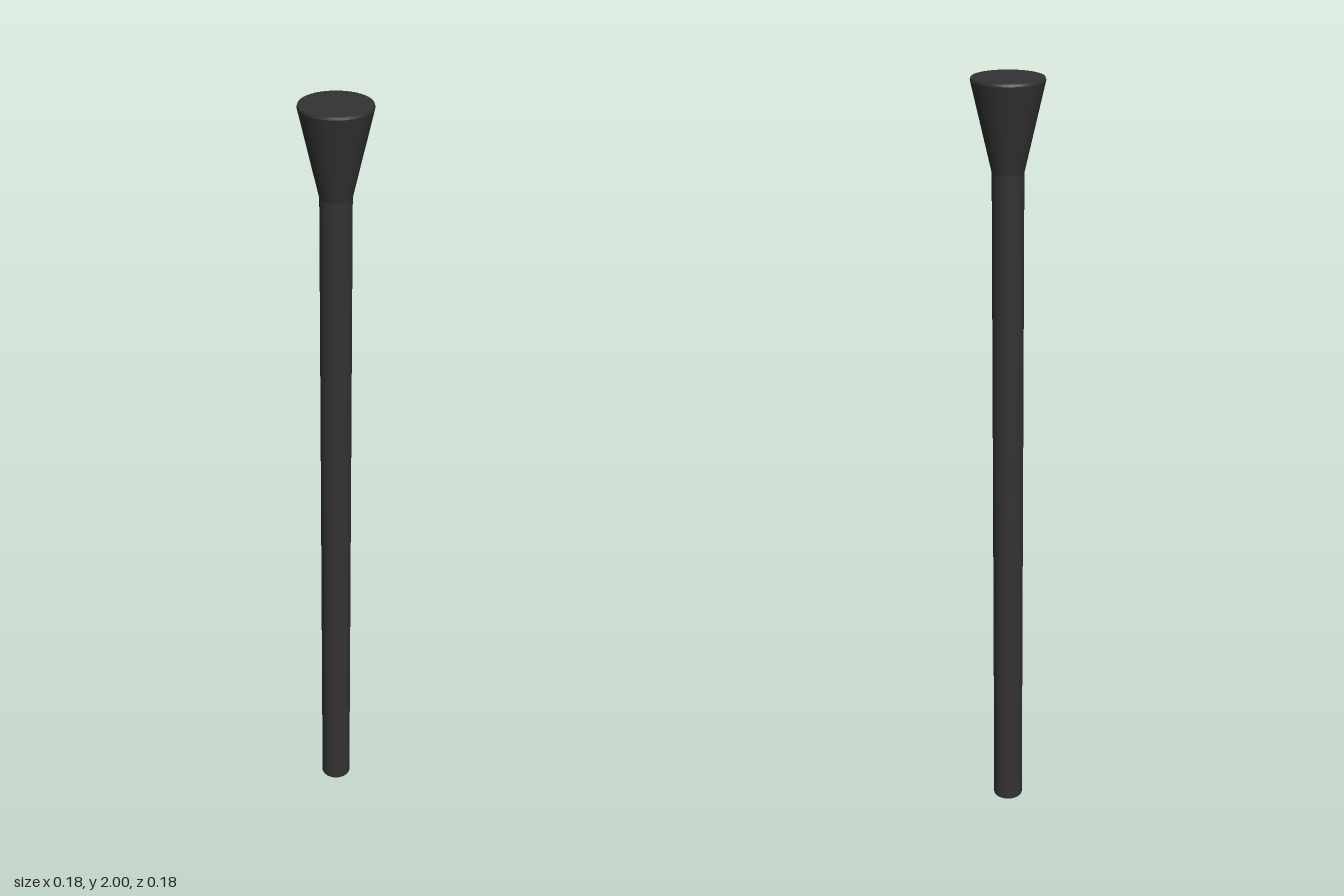
import * as THREE from 'three';

const material = new THREE.MeshStandardMaterial({ color: 0x333333 });
const SIDES = 48;

// Round part standing on y = bottom
function roundPart(name, topRadius, bottomRadius, bottom, top) {
  const geometry = new THREE.CylinderGeometry(topRadius, bottomRadius, top - bottom, SIDES);
  const mesh = new THREE.Mesh(geometry, material);
  mesh.name = name;
  mesh.position.y = (bottom + top) / 2;
  return mesh;
}

export function createModel() {
  const group = new THREE.Group();
  group.name = 'flaredRod';

  const shaftRadius = 0.039, headRadius = 0.089;
  const flareStart = 1.775, rimStart = 1.994;

  // Long straight shaft
  group.add(roundPart('shaft', shaftRadius, shaftRadius, 0, flareStart));
  // Head widening towards the top
  group.add(roundPart('flaredHead', headRadius, shaftRadius, flareStart, rimStart));
  // Slightly bevelled flat top
  group.add(roundPart('topRim', headRadius - 0.002, headRadius, rimStart, 2));

  return group;
}
